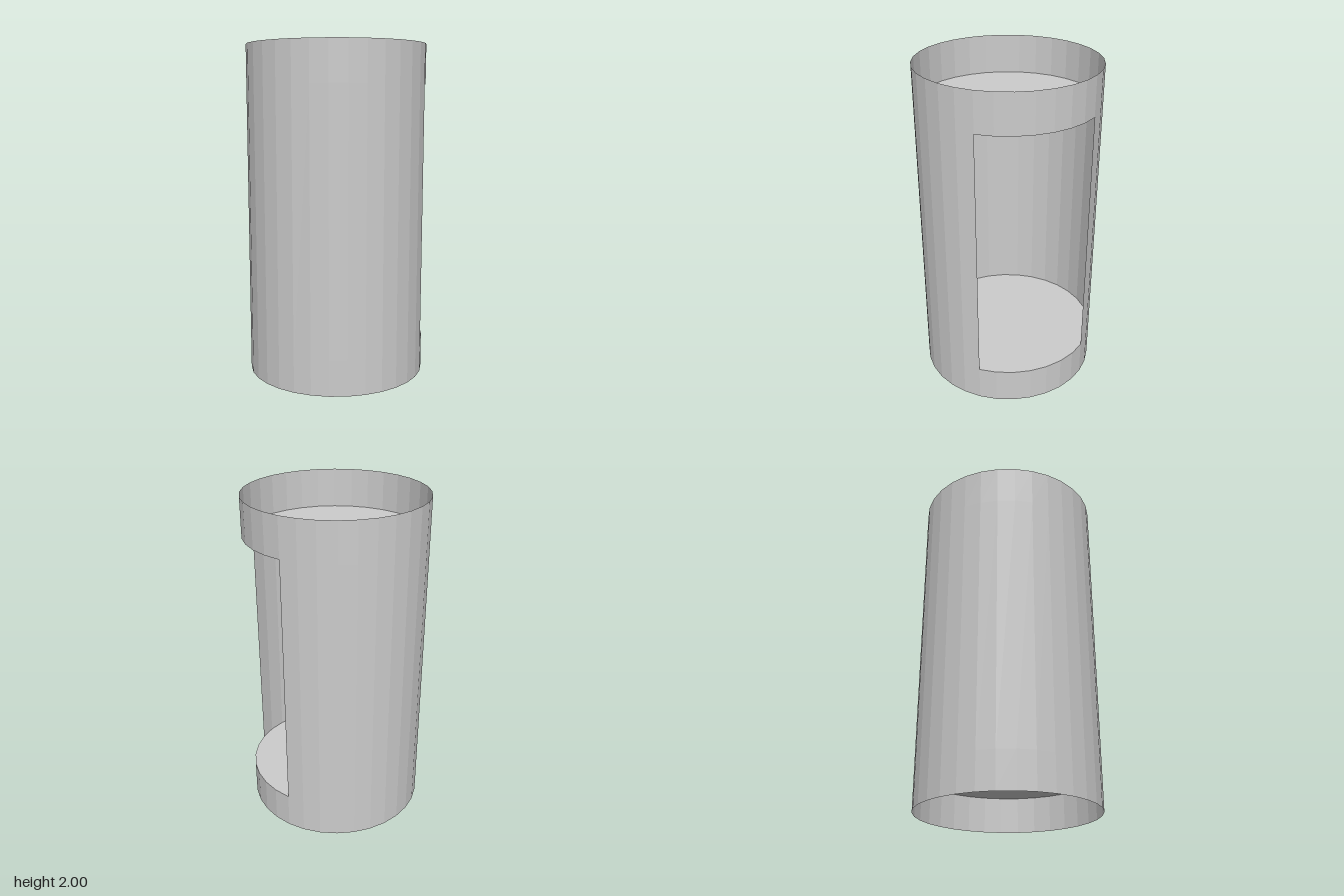
import * as THREE from 'three';

const R = 0.54, SIDES = 32, STEP = (Math.PI * 2) / SIDES;
const HEIGHT = 2, LOW = 0.217, HIGH = 1.764;

export function createModel() {
  const model = new THREE.Group();
  const material = new THREE.MeshStandardMaterial({
    color: 0xcccccc, flatShading: true, side: THREE.DoubleSide,
  });

  const add = (name, geometry, y) => {
    const mesh = new THREE.Mesh(geometry, material);
    mesh.name = name;
    mesh.position.y = y;
    model.add(mesh);
  };

  // Thin faceted wall between two heights, covering a run of the sides
  const wall = (name, y0, y1, first = 0, count = SIDES) =>
    add(name, new THREE.CylinderGeometry(R, R, y1 - y0, count, 1, true, first * STEP, count * STEP), (y0 + y1) / 2);

  // Horizontal disc closing the tube
  const disc = (name, y) =>
    add(name, new THREE.CircleGeometry(R, SIDES).rotateX(-Math.PI / 2), y);

  wall('lowerRim', 0, LOW);
  wall('upperRim', HIGH, HEIGHT);
  // Middle wall leaves a doorway seven sides wide
  wall('wallWithDoorway', LOW, HIGH, 11, SIDES - 7);

  disc('floor', LOW);
  disc('ceiling', HIGH);

  return model;
}
